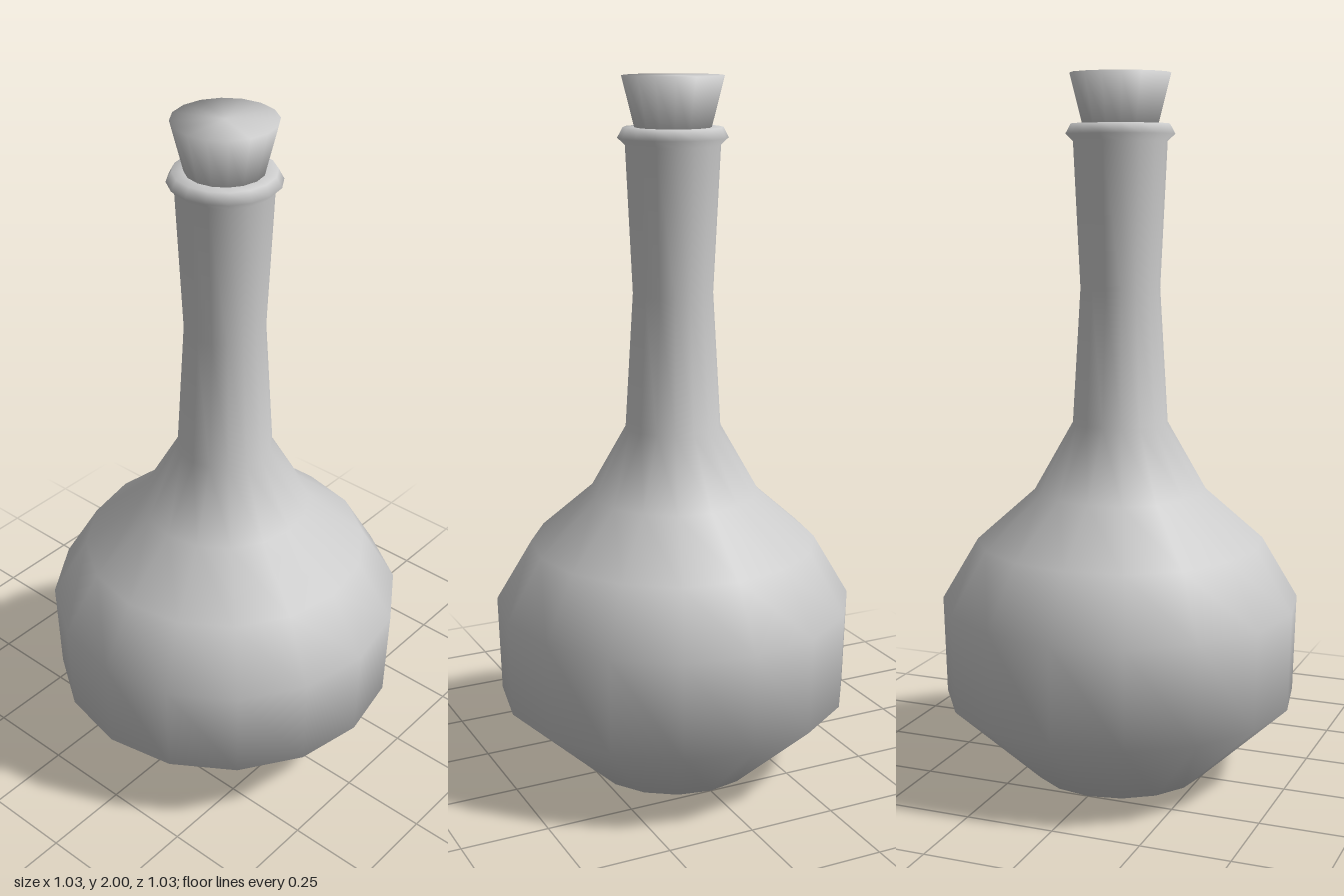
import * as THREE from 'three';

const SIDES = 16;

// Turned part from [radius, height] points, listed bottom to top
function turned(name, profile) {
  const points = profile.map(([r, y]) => new THREE.Vector2(r, y));
  const mesh = new THREE.Mesh(
    new THREE.LatheGeometry(points, SIDES),
    new THREE.MeshStandardMaterial({ color: 0xcccccc })
  );
  mesh.name = name;
  return mesh;
}

export function createModel() {
  const group = new THREE.Group();
  group.name = 'flask';

  // Round body flowing into a waisted neck with a flared lip
  group.add(turned('bottle', [
    [0, 0], [0.25, 0],
    [0.505, 0.235], [0.513, 0.515], [0.41, 0.69], [0.245, 0.835],
    [0.135, 1.03], [0.112, 1.41], [0.131, 1.815],
    [0.152, 1.835], [0.137, 1.863], [0.1, 1.863],
  ]));

  // Tapered stopper seated in the lip
  group.add(turned('stopper', [
    [0, 1.84], [0.1, 1.84], [0.14, 2], [0, 2],
  ]));

  return group;
}
